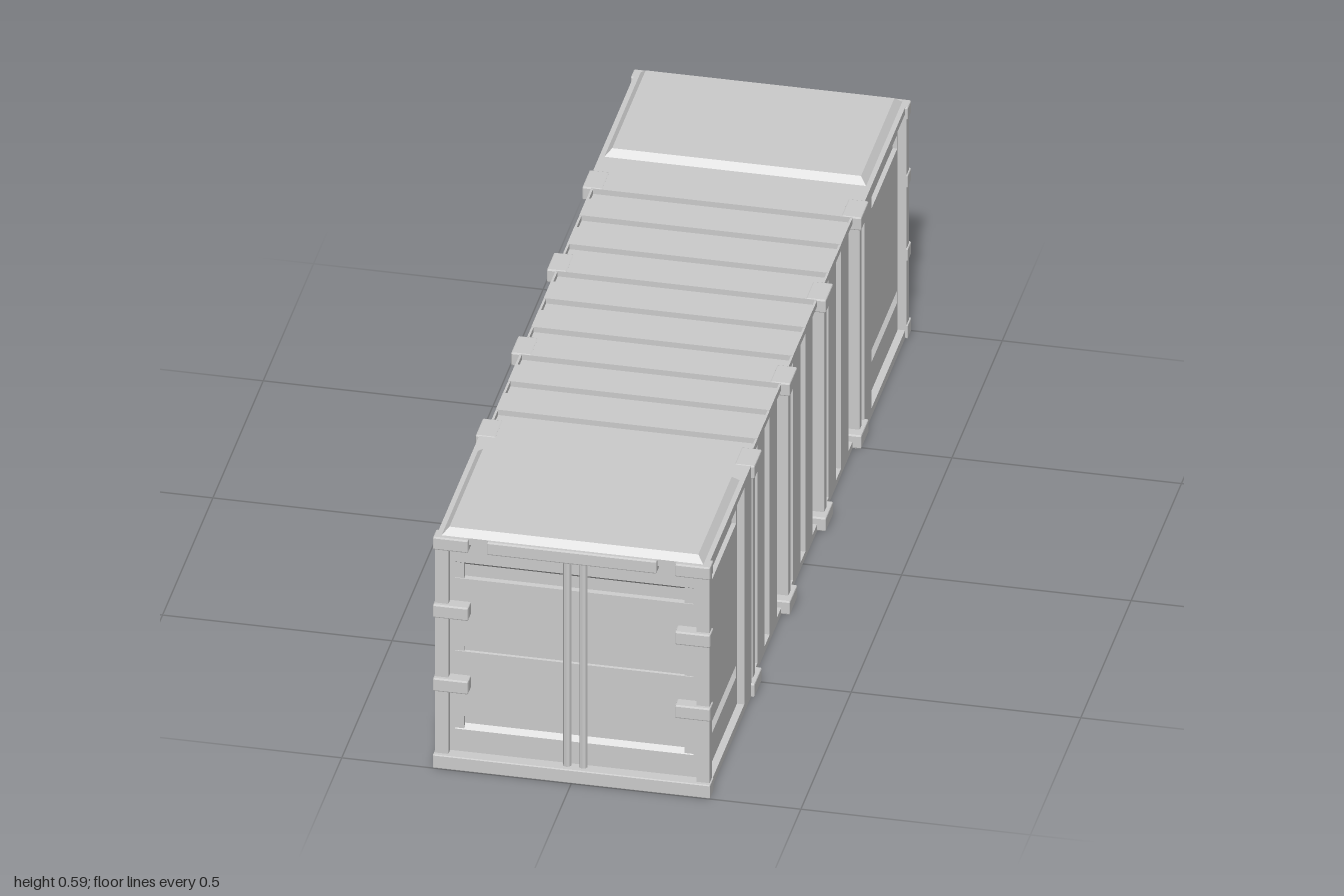
import * as THREE from 'three';
import { RoundedBoxGeometry } from 'three/addons/geometries/RoundedBoxGeometry.js';

const material = new THREE.MeshStandardMaterial({ color: 0xcccccc, flatShading: true });

function add(parent, name, geometry) {
  const mesh = new THREE.Mesh(geometry, material);
  mesh.name = name;
  parent.add(mesh);
  return mesh;
}

// Box given by its limits on each axis
function box(parent, name, [x0, x1], [y0, y1], [z0, z1], round = 0) {
  const size = [x1 - x0, y1 - y0, z1 - z0];
  const geometry = round ? new RoundedBoxGeometry(...size, 1, round) : new THREE.BoxGeometry(...size);
  geometry.translate((x0 + x1) / 2, (y0 + y1) / 2, (z0 + z1) / 2);
  return add(parent, name, geometry);
}

// Box whose top edges are drawn in to make a bevel
function bevelledLid(parent, name, width, height, length, inset) {
  const geometry = new THREE.BoxGeometry(width, height, length);
  const p = geometry.attributes.position;
  for (let i = 0; i < p.count; i++) {
    if (p.getY(i) > 0) {
      p.setX(i, p.getX(i) - Math.sign(p.getX(i)) * inset);
      p.setZ(i, p.getZ(i) - Math.sign(p.getZ(i)) * inset);
    }
  }
  return add(parent, name, geometry);
}

// Panel facing +x, with horizontal grooves that stop short of its ends
// Each groove is [bottom, bottom slope, top slope, top, depth]
function groovedPanel(parent, name, y0, y1, length, margin, grooves) {
  const group = new THREE.Group();
  group.name = name;
  const shape = new THREE.Shape();
  shape.moveTo(-0.04, y0);
  shape.lineTo(0, y0);
  for (const [bottom, slopeUp, slopeDown, top, depth] of grooves) {
    shape.lineTo(0, bottom);
    shape.lineTo(-depth, bottom + slopeUp);
    shape.lineTo(-depth, top - slopeDown);
    shape.lineTo(0, top);
  }
  shape.lineTo(0, y1);
  shape.lineTo(-0.04, y1);
  const inner = length - 2 * margin;
  const geometry = new THREE.ExtrudeGeometry(shape, { depth: inner, bevelEnabled: false });
  geometry.translate(0, 0, -inner / 2);
  add(group, name + 'Face', geometry);
  for (const s of [-1, 1]) {
    const a = s * inner / 2, b = s * length / 2;
    box(group, name + 'Edge', [-0.04, 0], [y0, y1], [Math.min(a, b), Math.max(a, b)]);
  }
  parent.add(group);
  return group;
}

// One closed end of the container, facing +z
function createEnd() {
  const end = new THREE.Group();
  end.name = 'endBay';
  box(end, 'endCore', [-0.25, 0.25], [0.01, 0.56], [0.5, 0.94]);
  box(end, 'endRoof', [-0.296, 0.296], [0.555, 0.571], [0.495, 0.988]);
  box(end, 'endFloor', [-0.296, 0.296], [0, 0.02], [0.495, 0.988]);
  bevelledLid(end, 'roofLid', 0.57, 0.015, 0.36, 0.014).position.set(0, 0.5785, 0.808);

  // Doors
  const doors = groovedPanel(end, 'doors', 0.02, 0.555, 0.54, 0.01, [
    [0.087, 0.01, 0.001, 0.121, 0.012],
    [0.28, 0.001, 0.001, 0.293, 0.006],
    [0.46, 0.001, 0.01, 0.5, 0.012],
  ]);
  doors.rotation.y = -Math.PI / 2;
  doors.position.z = 0.972;
  box(end, 'endSill', [-0.302, 0.302], [0, 0.033], [0.965, 1], 0.002);
  box(end, 'doorHeader', [-0.185, 0.185], [0.54, 0.571], [0.965, 0.998], 0.003);
  for (const x of [-0.013, 0.022]) {
    const bar = add(end, 'lockingBar', new THREE.CylinderGeometry(0.009, 0.009, 0.51, 8));
    bar.position.set(x, 0.287, 0.98);
  }

  for (const s of [-1, 1]) {
    const span = (a, b) => (s > 0 ? [a, b] : [-b, -a]);
    // Frame posts and hinges
    box(end, 'cornerPost', span(0.27, 0.299), [0.01, 0.56], [0.965, 0.99]);
    box(end, 'innerPost', span(0.24, 0.296), [0.01, 0.56], [0.56, 0.632]);
    box(end, 'cornerBlock', span(0.225, 0.302), [0.54, 0.571], [0.965, 1], 0.003);
    for (const y of [0.19, 0.372]) {
      box(end, 'hinge', span(0.225, 0.302), [y, y + 0.032], [0.965, 1], 0.003);
    }
    // Side panels
    const side = groovedPanel(end, 'sidePanel', 0.02, 0.555, 0.34, 0.01, [
      [0.09, 0.01, 0.001, 0.12, 0.01],
      [0.47, 0.001, 0.01, 0.505, 0.01],
    ]);
    side.position.set(s * 0.28, 0, 0.8);
    if (s < 0) side.rotation.y = Math.PI;
  }
  return end;
}

// Rib around the roof and both sides, with caps at the corners
function addBand(parent, z) {
  const band = new THREE.Group();
  band.name = 'band';
  const length = [-0.037, 0.037];
  box(band, 'bandRoof', [-0.285, 0.285], [0.545, 0.571], length);
  for (const s of [-1, 1]) {
    const span = (a, b) => (s > 0 ? [a, b] : [-b, -a]);
    box(band, 'bandTopCap', span(0.26, 0.304), [0.54, 0.572], length, 0.003);
    box(band, 'bandBottomCap', span(0.26, 0.304), [0, 0.033], length, 0.003);
    box(band, 'bandPost', span(0.265, 0.295), [0.03, 0.545], [-0.012, 0.012], 0.003);
  }
  band.position.z = z;
  parent.add(band);
}

export function createModel() {
  const model = new THREE.Group();
  model.name = 'container';

  for (const turn of [0, Math.PI]) {
    const end = createEnd();
    end.rotation.y = turn;
    model.add(end);
  }

  // Middle body
  box(model, 'bodyCore', [-0.27, 0.27], [0.01, 0.556], [-0.565, 0.565]);
  box(model, 'bodyFloor', [-0.285, 0.285], [0, 0.016], [-0.5, 0.5]);
  box(model, 'bodyRoof', [-0.284, 0.284], [0.555, 0.558], [-0.5, 0.5]);
  for (const s of [-1, 1]) {
    box(model, 'roofRail', s > 0 ? [0.28, 0.285] : [-0.285, -0.28], [0.555, 0.57], [-0.5, 0.5]);
  }

  // Bands and the corrugation between them
  for (const z of [-0.53, -0.178, 0.178, 0.53]) addBand(model, z);
  for (const bay of [-0.354, 0, 0.354]) {
    for (const offset of [-0.061, 0.061]) {
      const z = bay + offset;
      box(model, 'corrugation', [-0.285, 0.285], [0.01, 0.571], [z - 0.036, z + 0.036]);
    }
  }
  return model;
}
